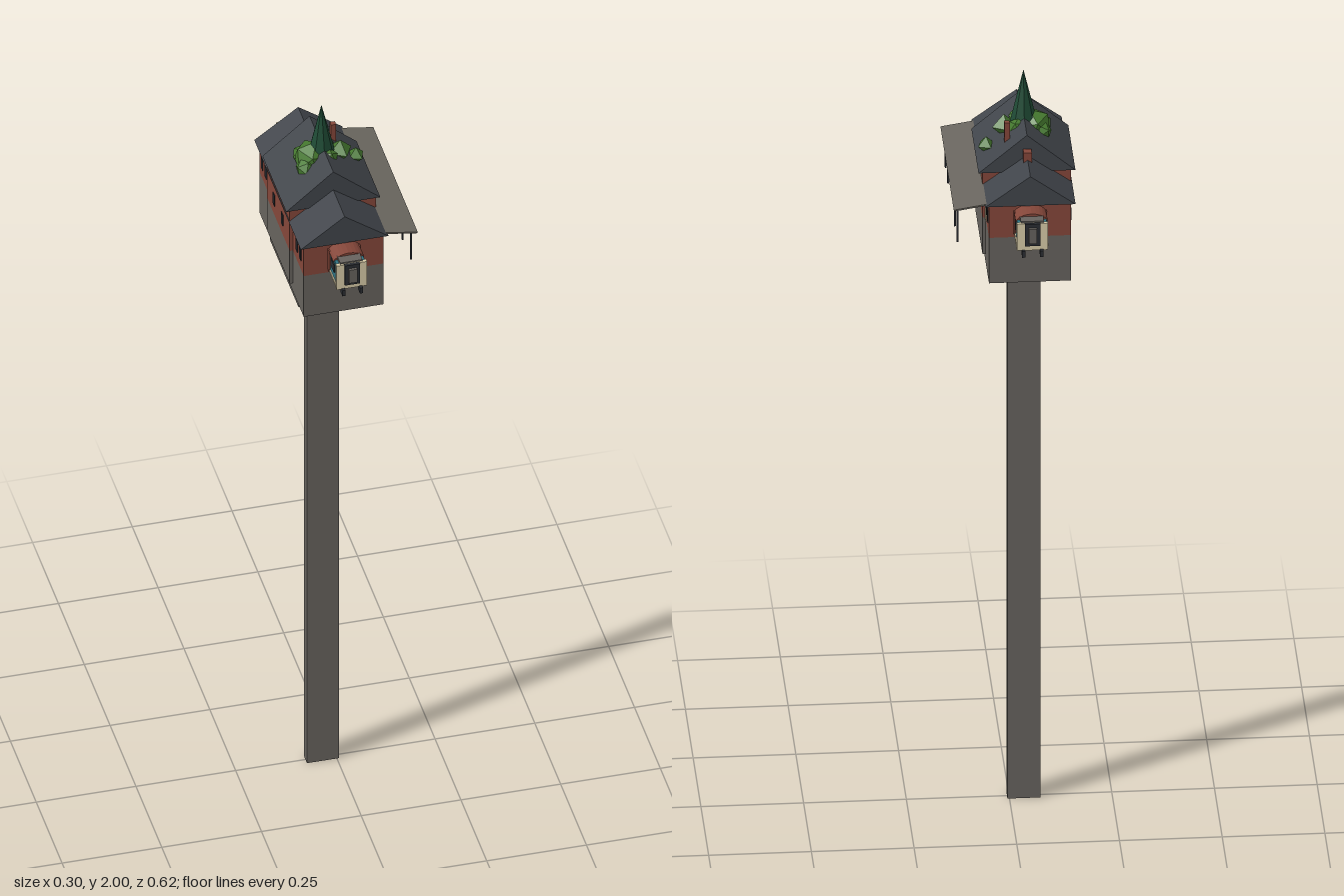
import * as THREE from 'three';

const CX = -0.035; // centre line of the house and pillar

export function createModel() {
  const root = new THREE.Group();
  root.name = 'pillarStation';
  const mat = (name, color) => Object.assign(new THREE.MeshStandardMaterial({ color, flatShading: true }), { name });
  const stone = mat('stone', 0x67635e);
  const brick = mat('brick', 0x85473a);
  const slate = mat('slate', 0x41454b);
  const canopyGrey = mat('canopyGrey', 0x6a665f);
  const darkMetal = mat('darkMetal', 0x2a2d32);
  const cream = mat('cream', 0xd9cca8);
  const teal = mat('teal', 0x2f7484);
  const yellow = mat('yellow', 0xc99a45);
  const leaf = mat('leafGreen', 0x467a30);
  const pine = mat('pineGreen', 0x1f4a35);

  const add = (name, geo, material, x = 0, y = 0, z = 0, parent = root) => {
    const m = new THREE.Mesh(geo, material);
    m.name = name;
    m.position.set(x, y, z);
    parent.add(m);
    return m;
  };
  // Box given by its limits on every axis
  const box = (name, material, x0, x1, y0, y1, z0, z1, parent = root) =>
    add(name, new THREE.BoxGeometry(x1 - x0, y1 - y0, z1 - z0), material,
      (x0 + x1) / 2, (y0 + y1) / 2, (z0 + z1) / 2, parent);
  // Gabled prism running along z
  const gable = (name, half, eave, ridge, halfLength) => {
    const s = new THREE.Shape();
    s.moveTo(-half, eave);
    s.lineTo(half, eave);
    s.lineTo(0, ridge);
    s.closePath();
    add(name, new THREE.ExtrudeGeometry(s, { depth: halfLength * 2, bevelEnabled: false }), slate, CX, 0, -halfLength);
  };

  // Pillar and stone footing
  box('pillar', stone, CX - 0.04, CX + 0.04, 0, 1.51, -0.015, 0.015);
  box('footing', stone, CX - 0.093, CX + 0.093, 1.5, 1.535, -0.137, 0.137);
  box('wingBase', stone, CX - 0.1, CX + 0.1, 1.53, 1.655, -0.215, 0.215);
  box('hallBase', stone, CX - 0.108, CX + 0.108, 1.555, 1.655, -0.11, 0.11);

  // Brick walls and roofs
  box('wingWalls', brick, CX - 0.1, CX + 0.1, 1.655, 1.75, -0.215, 0.215);
  box('hallWalls', brick, CX - 0.108, CX + 0.108, 1.655, 1.785, -0.11, 0.11);
  gable('wingRoof', 0.11, 1.745, 1.825, 0.225);
  gable('hallRoof', 0.118, 1.78, 1.88, 0.115);

  // Chimneys
  box('largeChimney', brick, CX - 0.01, CX + 0.01, 1.8, 1.845, -0.14, -0.12);
  box('smallChimney', brick, 0.003, 0.016, 1.82, 1.89, -0.067, -0.054);

  // Windows and doors along both long walls
  for (const side of [-1, 1]) {
    for (const z of [-0.15, 0.15, -0.185, 0.185, -0.04, 0.04]) {
      const x = CX + side * (Math.abs(z) < 0.11 ? 0.108 : 0.1);
      box('window', darkMetal, x - 0.002, x + 0.002, 1.685, 1.718, z - 0.008, z + 0.008);
    }
  }
  for (const z of [-0.122, 0.122]) {
    box('door', cream, CX + 0.098, CX + 0.102, 1.655, 1.71, z - 0.008, z + 0.008);
  }

  // Platform canopy with hanging posts
  const canopy = box('canopy', canopyGrey, 0.065, 0.151, 1.738, 1.742, -0.215, 0.215);
  canopy.rotation.z = -0.16;
  for (const z of [-0.19, -0.11, 0.11, 0.19]) {
    box('canopyPost', darkMetal, 0.138, 0.142, 1.635, 1.735, z - 0.002, z + 0.002);
  }

  // Railcar nose emerging from each gable end
  for (const end of [1, -1]) {
    const car = new THREE.Group();
    car.name = end > 0 ? 'frontRailcar' : 'backRailcar';
    car.position.x = CX;
    car.rotation.y = end > 0 ? 0 : Math.PI;
    root.add(car);
    box('carBody', teal, -0.036, 0.036, 1.665, 1.728, 0.21, 0.288, car);
    const roofShape = new THREE.Shape();
    roofShape.moveTo(-0.039, 1.725);
    roofShape.lineTo(0.039, 1.725);
    roofShape.quadraticCurveTo(0.03, 1.742, 0, 1.744);
    roofShape.quadraticCurveTo(-0.03, 1.742, -0.039, 1.725);
    add('carRoof', new THREE.ExtrudeGeometry(roofShape, { depth: 0.055, bevelEnabled: false, curveSegments: 5 }),
      brick, 0, 0, 0.21, car);
    box('carHood', stone, -0.028, 0.028, 1.725, 1.737, 0.26, 0.29, car);
    box('carFront', cream, -0.038, 0.038, 1.66, 1.733, 0.285, 0.295, car);
    box('frontDoor', darkMetal, -0.019, 0.019, 1.675, 1.735, 0.294, 0.302, car);
    box('doorSurround', stone, -0.01, 0.01, 1.685, 1.725, 0.3, 0.309, car);
    box('carFloor', yellow, -0.034, 0.034, 1.655, 1.665, 0.21, 0.285, car);
    for (const side of [-1, 1]) {
      const x = side * 0.037;
      box('brickPanel', brick, x - 0.003, x + 0.003, 1.665, 1.728, 0.212, 0.228, car);
      box('sideWindow', darkMetal, x - 0.002, x + 0.002, 1.695, 1.718, 0.24, 0.27, car);
      box('sideStripe', cream, x - 0.002, x + 0.002, 1.665, 1.672, 0.228, 0.286, car);
      box('buffer', darkMetal, side * 0.022 - 0.004, side * 0.022 + 0.004, 1.645, 1.662, 0.285, 0.304, car);
    }
  }

  // Foliage and pine growing through the roof
  const bushes = [
    [-0.06, 1.845, 0, 0.046], [-0.08, 1.835, 0.025, 0.027], [-0.078, 1.84, -0.022, 0.025],
    [-0.025, 1.855, 0.026, 0.026], [-0.02, 1.855, -0.024, 0.024],
  ];
  bushes.forEach(([x, y, z, r], i) => {
    add('bush', new THREE.IcosahedronGeometry(r, 0), leaf, x, y, z).rotation.set(i * 0.8, i * 1.3, 0.3);
  });
  add('middleShrub', new THREE.OctahedronGeometry(0.031, 0), leaf, 0.013, 1.85, -0.003).rotation.y = 0.3;
  add('smallShrub', new THREE.OctahedronGeometry(0.023, 0), leaf, 0.058, 1.81, -0.025).rotation.y = 0.5;
  add('pineTree', new THREE.ConeGeometry(0.033, 0.14, 8), pine, CX, 1.93, 0);

  return root;
}
